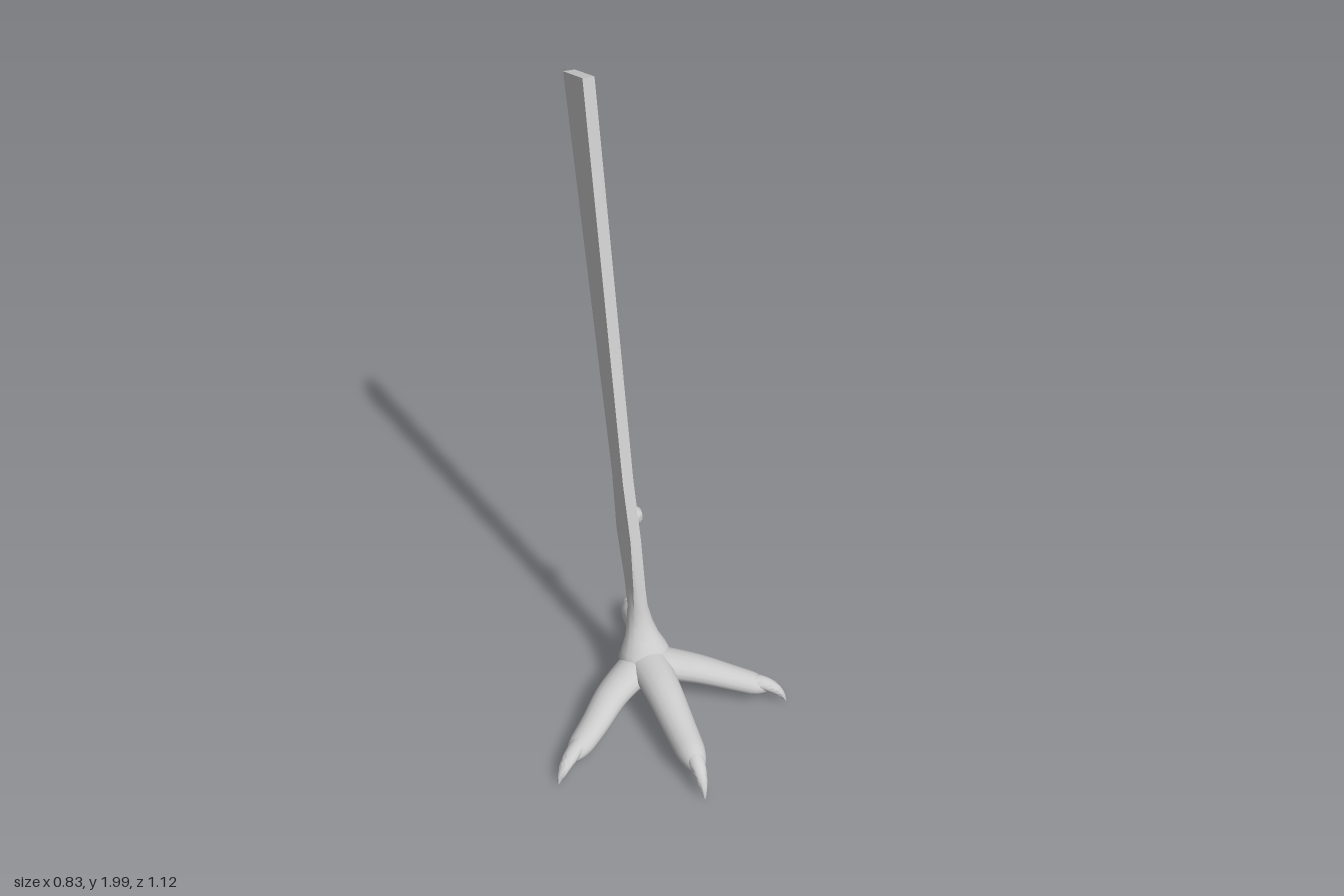
import * as THREE from 'three';
import { toCreasedNormals } from 'three/addons/utils/BufferGeometryUtils.js';

const SIDES = 16;
const { lerp, smoothstep } = THREE.MathUtils;
const V = (x, y, z) => new THREE.Vector3(x, y, z);
const material = new THREE.MeshStandardMaterial({ color: 0xcccccc });

// Skin a list of rings { c, u, v, round }: round 0 is a rectangle, 1 an ellipse
function loft(rings, crease) {
  const pos = [], index = [];
  for (const { c, u, v, round } of rings) {
    for (let j = 0; j < SIDES; j++) {
      const a = (j / SIDES) * Math.PI * 2, cs = Math.cos(a), sn = Math.sin(a);
      const k = lerp(1 / Math.max(Math.abs(cs), Math.abs(sn)), 1, round);
      const p = c.clone().addScaledVector(u, cs * k).addScaledVector(v, sn * k);
      pos.push(p.x, p.y, p.z);
    }
  }
  const last = rings.length - 1;
  for (let i = 0; i < last; i++) {
    for (let j = 0; j < SIDES; j++) {
      const a = i * SIDES + j, b = i * SIDES + ((j + 1) % SIDES);
      index.push(a, b, a + SIDES, b, b + SIDES, a + SIDES);
    }
  }
  // end caps
  const start = pos.length / 3;
  for (const r of [rings[0], rings[last]]) pos.push(r.c.x, r.c.y, r.c.z);
  for (let j = 0; j < SIDES; j++) {
    const n = (j + 1) % SIDES;
    index.push(start, n, j, start + 1, last * SIDES + j, last * SIDES + n);
  }
  const g = new THREE.BufferGeometry();
  g.setAttribute('position', new THREE.Float32BufferAttribute(pos, 3));
  g.setIndex(index);
  return toCreasedNormals(g, crease);
}

function part(name, geometry) {
  const m = new THREE.Mesh(geometry, material);
  m.name = name;
  return m;
}

// Round limb along a curve; size(t) gives [halfWidth, halfHeight]
function limb(curve, steps, size) {
  const rings = [];
  for (let i = 0; i <= steps; i++) {
    const t = i / steps, tangent = curve.getTangent(t), [w, h] = size(t);
    const side = V(0, 1, 0).cross(tangent).normalize();
    const up = tangent.clone().cross(side);
    rings.push({
      c: curve.getPoint(t), round: 1,
      u: side.multiplyScalar(w), v: up.multiplyScalar(h),
    });
  }
  return loft(rings, 1.0);
}

// Toe that tapers evenly and closes in a blunt round end, with a hooked claw on top
function makeToe({ name, path, width, height, tip }) {
  const group = new THREE.Group();
  group.name = name;
  const curve = new THREE.CatmullRomCurve3(path.map(p => V(...p)), false, 'catmullrom', 0.5);
  group.add(part('toe', limb(curve, 36, t => {
    const e = Math.max(0, (t - 0.8) / 0.2);
    const close = Math.max(0.06, Math.pow(1 - e * e, 0.6));
    return [lerp(...width, t) * close, lerp(...height, t) * close];
  })));

  const root = curve.getPoint(0.83);
  root.y += height[1] * 0.35;
  const end = V(...tip);
  const bend = root.clone().lerp(end, 0.75).setY(root.y - 0.003);
  group.add(part('claw', limb(new THREE.QuadraticBezierCurve3(root, bend, end), 14, t => {
    const s = Math.max(0.1, Math.pow(1 - t * t, 0.8));
    return [0.027 * s, 0.022 * s];
  })));
  return group;
}

// Toe centre lines from palm to end, [start, end] half sizes, and claw tips
const TOES = [
  {
    name: 'middleToe', width: [0.07, 0.042], height: [0.056, 0.045], tip: [-0.005, 0.01, 0.56],
    path: [[0, 0.14, 0.06], [0, 0.135, 0.2], [0, 0.1, 0.36], [0, 0.072, 0.51]],
  },
  {
    name: 'leftToe', width: [0.065, 0.037], height: [0.046, 0.032], tip: [0.412, 0.01, 0.284],
    path: [[0.04, 0.137, 0.08], [0.15, 0.12, 0.137], [0.26, 0.09, 0.197], [0.365, 0.06, 0.255]],
  },
  {
    name: 'rightToe', width: [0.064, 0.037], height: [0.048, 0.032], tip: [-0.412, 0.012, 0.338],
    path: [[-0.04, 0.13, 0.065], [-0.15, 0.108, 0.13], [-0.25, 0.076, 0.212], [-0.362, 0.05, 0.298]],
  },
  {
    name: 'backToe', width: [0.054, 0.032], height: [0.056, 0.045], tip: [0.083, 0.04, -0.338],
    path: [[0.015, 0.115, 0.04], [0.04, 0.094, -0.07], [0.06, 0.074, -0.19], [0.066, 0.064, -0.307]],
  },
];

// Shank from the cut top down to the palm: [frontY, frontZ, backZ, halfWidth]
const SHANK = [
  [2.0, -0.392, -0.56, 0.018],
  [0.78, -0.106, -0.202, 0.018],
  [0.58, -0.04, -0.167, 0.018],
  [0.4, 0, -0.098, 0.025],
  [0.325, 0.013, -0.066, 0.032],
  [0.265, 0.032, -0.044, 0.043],
  [0.22, 0.062, -0.034, 0.057],
  [0.185, 0.097, -0.032, 0.076],
  [0.15, 0.12, -0.037, 0.09],
  [0.11, 0.122, -0.035, 0.086],
  [0.07, 0.08, 0, 0.045],
];

// Sections are slanted rectangles high up and turn into level ellipses at the ankle
function shankRing([y, front, back, w]) {
  const round = 1 - smoothstep(y, 0.25, 0.58);
  const drop = (front - back) * 0.25 * (1 - round);
  return {
    c: V(0, y - drop / 2, (front + back) / 2),
    u: V(w, 0, 0),
    v: V(0, drop / 2, (front - back) / 2),
    round,
  };
}

export function createModel() {
  const model = new THREE.Group();
  model.name = 'birdFoot';
  model.add(part('shank', loft(SHANK.map(shankRing), 0.65)));
  for (const toe of TOES) model.add(makeToe(toe));

  // Bevelled peg on the left face of the shank
  const profile = [[0, -0.01], [0.03, -0.01], [0.03, 0.016], [0.021, 0.027], [0, 0.027]];
  const peg = part('peg', toCreasedNormals(
    new THREE.LatheGeometry(profile.map(p => new THREE.Vector2(...p)), 20), 0.5));
  peg.rotation.z = -Math.PI / 2;
  peg.position.set(0.018, 0.627, -0.115);
  model.add(peg);

  return model;
}
